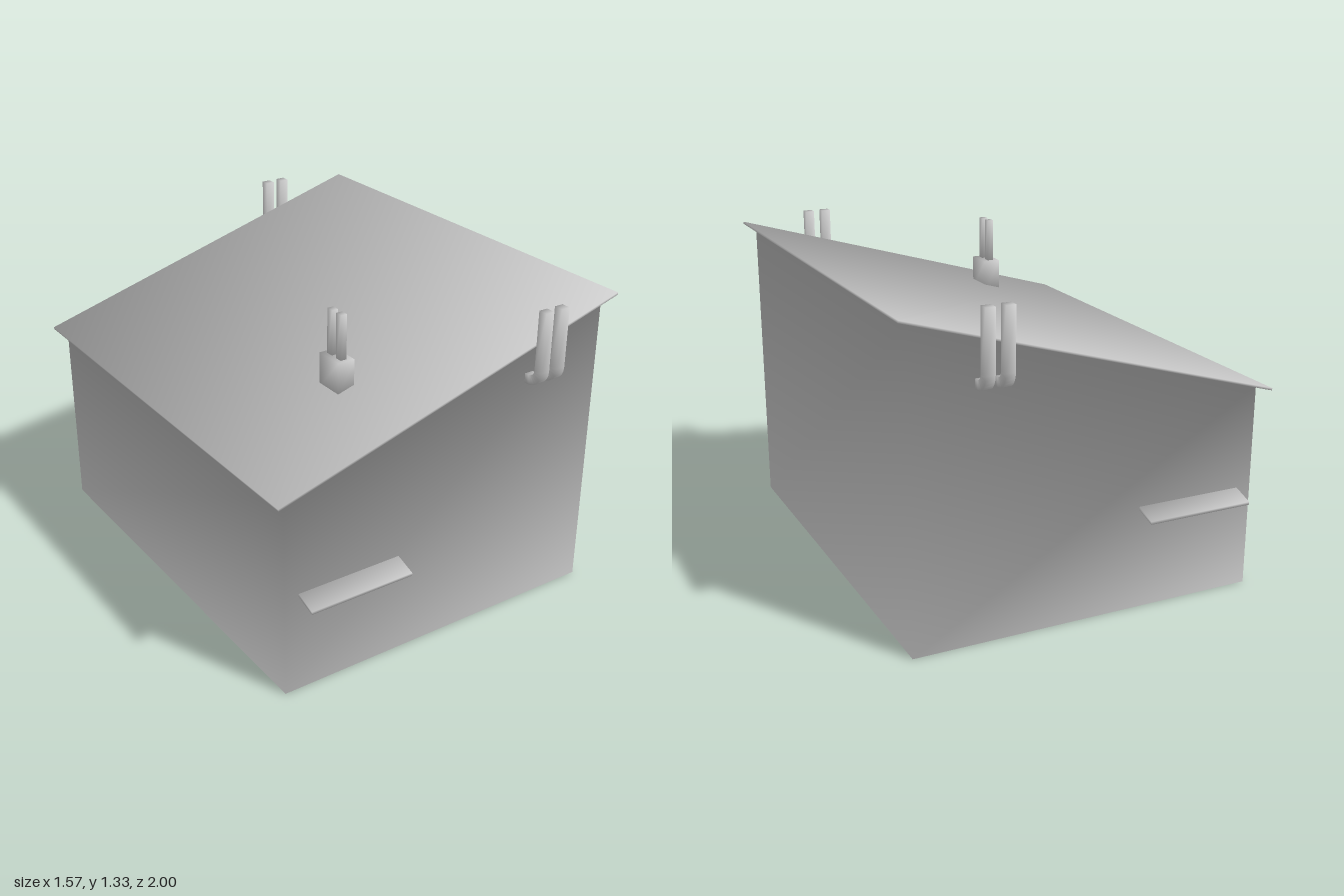
import * as THREE from 'three';

const grey = new THREE.MeshStandardMaterial({ color: 0xcccccc, side: THREE.DoubleSide });

// Normals averaged over every face at a corner, weighted by the face's angle there
function smoothNormals(geometry) {
  const pos = geometry.attributes.position, index = geometry.index;
  const normals = Array.from({ length: pos.count }, () => new THREE.Vector3());
  const point = (i) => new THREE.Vector3().fromBufferAttribute(pos, i);
  for (let f = 0; f < index.count; f += 3) {
    const ids = [0, 1, 2].map((k) => index.getX(f + k));
    const p = ids.map(point);
    const faceNormal = new THREE.Triangle(...p).getNormal(new THREE.Vector3());
    ids.forEach((id, k) => {
      const e1 = p[(k + 1) % 3].clone().sub(p[k]);
      const e2 = p[(k + 2) % 3].clone().sub(p[k]);
      normals[id].addScaledVector(faceNormal, e1.angleTo(e2));
    });
  }
  const flat = normals.flatMap((n) => n.normalize().toArray());
  geometry.setAttribute('normal', new THREE.Float32BufferAttribute(flat, 3));
  return geometry;
}

// Skin over four-cornered rings; each ring runs anticlockwise seen from the end
function loft(rings, capStart = true) {
  const index = [];
  for (let r = 0; r < rings.length - 1; r++) {
    for (let i = 0; i < 4; i++) {
      const a = r * 4 + i, b = r * 4 + (i + 1) % 4;
      index.push(a, b, b + 4, a, b + 4, a + 4);
    }
  }
  const e = (rings.length - 1) * 4;
  index.push(e, e + 1, e + 2, e, e + 2, e + 3);
  if (capStart) index.push(0, 2, 1, 0, 3, 2);
  const g = new THREE.BufferGeometry();
  g.setAttribute('position', new THREE.Float32BufferAttribute(rings.flat(2), 3));
  g.setIndex(index);
  return smoothNormals(g);
}

// Mirror rings to the back, keeping the faces outward
const toBack = (rings) =>
  rings.map((ring) => ring.map(([x, y, z]) => [x, y, -z]).reverse());

// Level or sloping rectangle around the vertical axis
const rectangle = (halfX, halfZ, height, shiftX = 0) =>
  [[-1, 1], [1, 1], [1, -1], [-1, -1]].map(([sx, sz]) =>
    [sx * halfX + shiftX, height(sx * halfX), sz * halfZ]);

function add(parent, name, geometry) {
  const mesh = new THREE.Mesh(geometry, grey);
  mesh.name = name;
  parent.add(mesh);
  return mesh;
}

function box(width, height, depth) {
  return loft([
    rectangle(width / 2, depth / 2, () => -height / 2),
    rectangle(width / 2, depth / 2, () => height / 2),
  ]);
}

// Square pipe leaving the wall and bending upward
function pipeRings(x) {
  const r = 0.0195, bend = 0.05;
  const ring = (y, z, angle) => {
    const uy = Math.cos(angle) * r, uz = -Math.sin(angle) * r;
    return [
      [x - r, y - uy, z - uz], [x + r, y - uy, z - uz],
      [x + r, y + uy, z + uz], [x - r, y + uy, z + uz],
    ];
  };
  const rings = [ring(1.03, 0.9, 0)];
  const steps = 6;
  for (let i = 0; i <= steps; i++) {
    const a = (i / steps) * Math.PI / 2;
    rings.push(ring(1.08 - bend * Math.cos(a), 0.93 + bend * Math.sin(a), a));
  }
  rings.push(ring(1.325, 0.98, Math.PI / 2));
  return rings;
}

// Thin sloping plate over an opening
function canopyRings() {
  const profile = [[0.39, 1], [0.423, 0.895], [0.436, 0.895], [0.402, 1]];
  return [-0.675, -0.22].map((x) => profile.map(([y, z]) => [x, y, z]));
}

export function createModel() {
  const model = new THREE.Group();
  model.name = 'shed';

  // One shell: walls open underneath, overhang soffit, roof edge and roof
  const wallX = 0.737, wallZ = 0.912, roofX = 0.783, roofZ = 0.955;
  const underside = (x) => 1.067 + 0.292 * x;
  add(model, 'wallsAndRoof', loft([
    rectangle(wallX, wallZ, () => 0),
    rectangle(wallX, wallZ, underside),
    rectangle(roofX, roofZ, underside),
    rectangle(roofX, roofZ, (x) => underside(x) + 0.009, -0.002),
  ], false));

  // Chimney block with two square flues
  const chimney = new THREE.Group();
  chimney.name = 'chimney';
  model.add(chimney);
  add(chimney, 'chimneyBase', box(0.074, 0.145, 0.126)).position.set(-0.239, 1.0525, 0.515);
  for (const z of [0.487, 0.546]) {
    add(chimney, 'flue', box(0.027, 0.2, 0.032)).position.set(-0.241, 1.21, z);
  }

  // Canopy and pair of vent pipes, repeated on the front and the back
  const fittings = [
    ['Canopy', canopyRings()],
    ['VentPipe', pipeRings(0.384)],
    ['VentPipe', pipeRings(0.462)],
  ];
  for (const [name, rings] of fittings) {
    add(model, 'front' + name, loft(rings));
    add(model, 'back' + name, loft(toBack(rings)));
  }
  return model;
}
